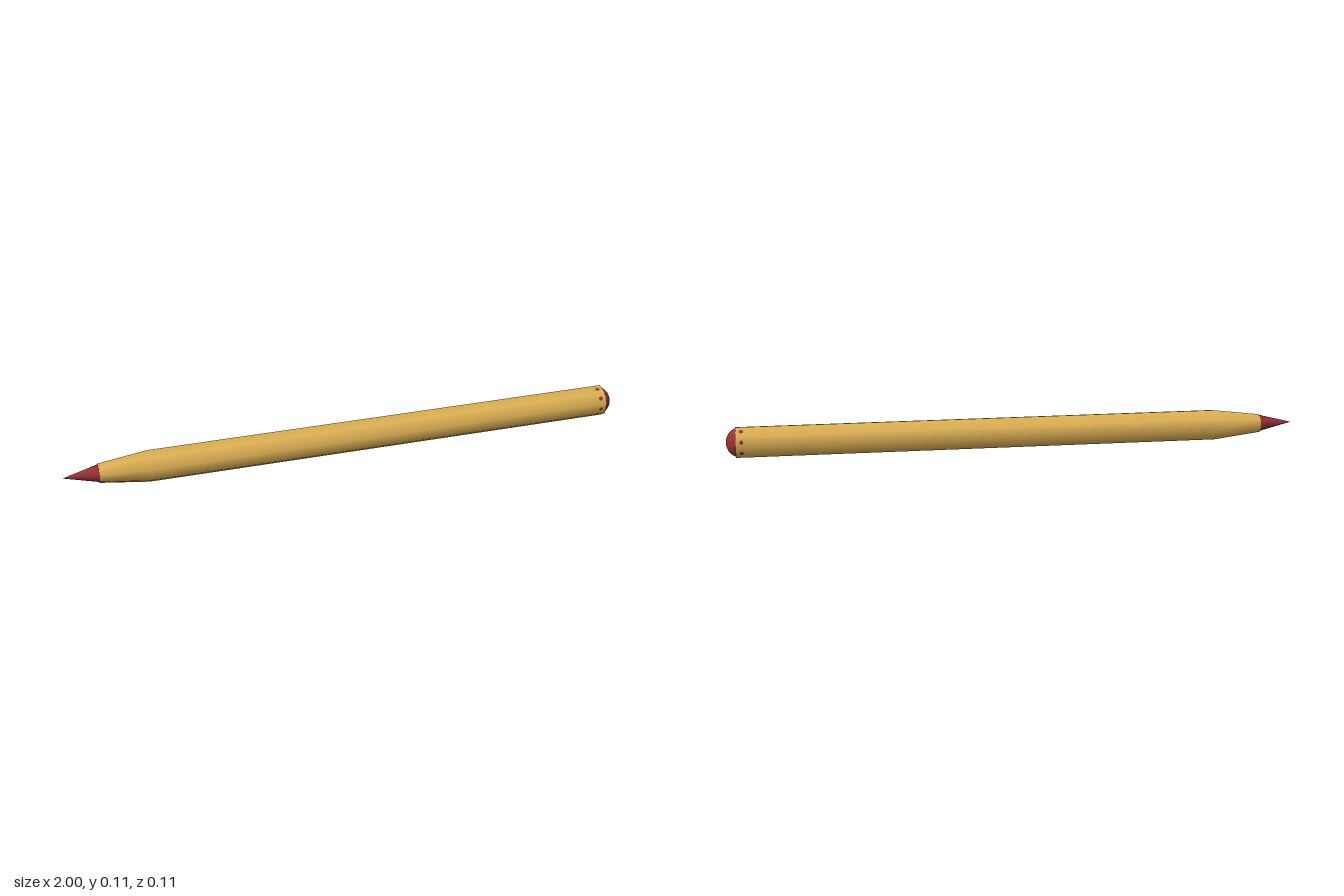
import * as THREE from 'three';

export function createModel() {
  const pencil = new THREE.Group();
  pencil.name = 'pencil';
  const wood = new THREE.MeshStandardMaterial({ name: 'golden wood', color: 0xdfb155, side: THREE.DoubleSide });
  const red = new THREE.MeshStandardMaterial({ name: 'dark red', color: 0x983035 });

  const SIDES = 8;
  const TURN = THREE.MathUtils.degToRad(34); // roll of the octagonal barrel
  const AXIS_Y = 0.055;

  // Each part is turned around the long axis; profile points are [radius, x]
  function turned(name, profile, material, sides = SIDES) {
    const points = profile.map(([r, x]) => new THREE.Vector2(r, x));
    const mesh = new THREE.Mesh(new THREE.LatheGeometry(points, sides, TURN), material);
    mesh.name = name;
    mesh.rotation.z = -Math.PI / 2;
    mesh.position.y = AXIS_Y;
    pencil.add(mesh);
  }

  // Barrel with its sharpened shoulder, open at the eraser end
  turned('barrel', [[0.034, -0.88], [0.056, -0.71], [0.056, 0.967]], wood);

  // Flat face where the lead leaves the wood
  turned('shoulderFace', [[0, -0.88], [0.034, -0.88]], wood);

  // Pointed lead
  turned('leadTip', [[0, -1], [0.031, -0.875]], red, 16);

  // Round eraser seated in the open end
  const eraser = new THREE.Mesh(new THREE.SphereGeometry(0.0525, 32, 20), red);
  eraser.name = 'eraser';
  eraser.position.set(0.9475, AXIS_Y, 0);
  pencil.add(eraser);

  return pencil;
}
